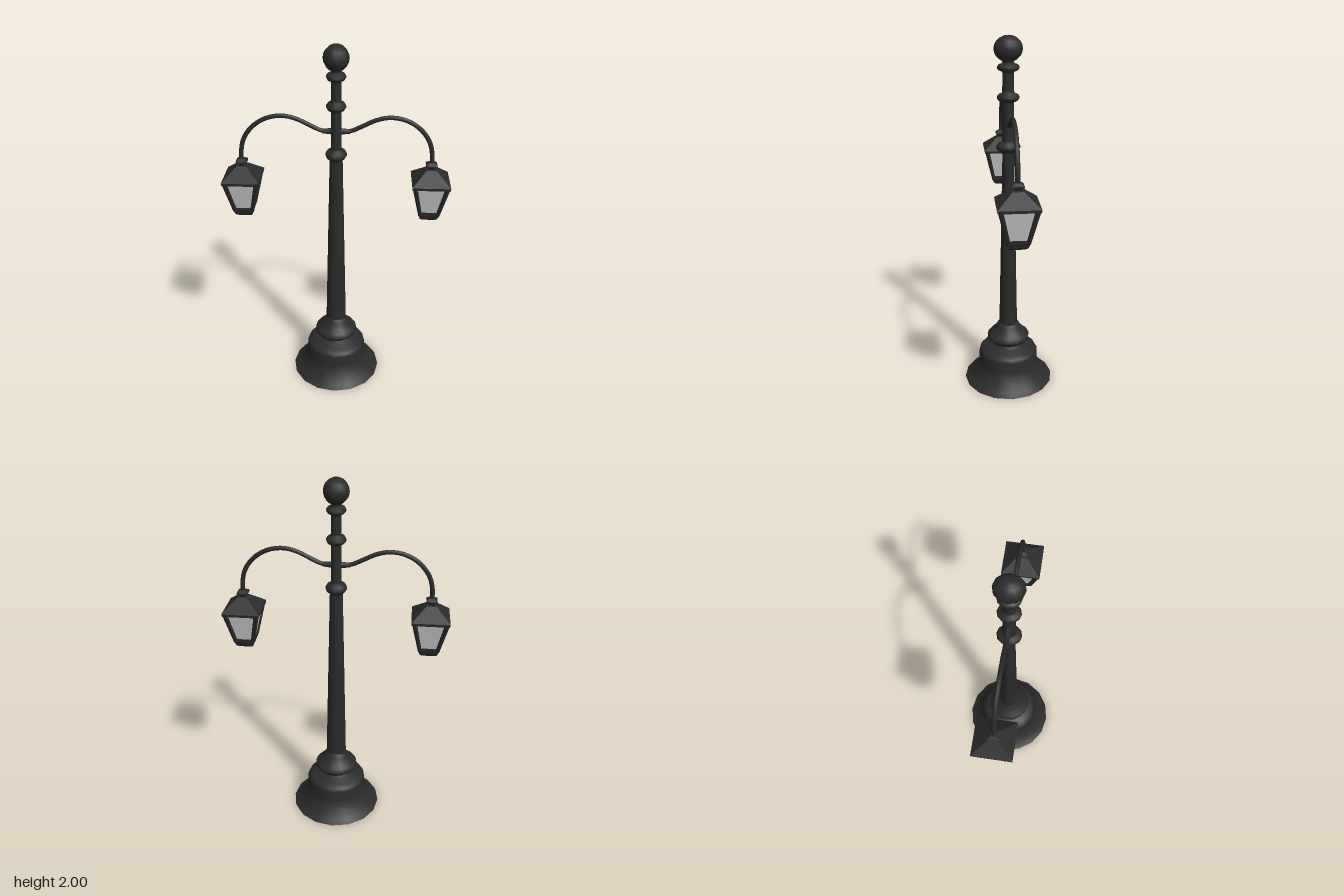
import * as THREE from 'three';

const iron = new THREE.MeshStandardMaterial({ color: 0x2b2b2b, side: THREE.DoubleSide });
const glassMat = new THREE.MeshStandardMaterial({ color: 0xcccccc, side: THREE.DoubleSide });

function add(parent, name, geometry, material = iron) {
  const mesh = new THREE.Mesh(geometry, material);
  mesh.name = name;
  parent.add(mesh);
  return mesh;
}

// Round turned part from [radius, height] pairs, listed bottom to top
function turned(points, sides) {
  return new THREE.LatheGeometry(points.map(([r, y]) => new THREE.Vector2(r, y)), sides);
}

// Four-sided part with flat faces from [half width, height] pairs
function square(points) {
  const g = turned(points.map(([h, y]) => [h * Math.SQRT2, y]), 4).rotateY(Math.PI / 4).toNonIndexed();
  g.computeVertexNormals();
  return g;
}

// Rounded ring moulding as part of a turned profile
function ring(y, outer, inner, half) {
  return [[inner, y - half], [outer * 0.88, y - half * 0.65], [outer, y - half * 0.2],
    [outer, y + half * 0.2], [outer * 0.88, y + half * 0.65], [inner, y + half]];
}

function createLantern() {
  const lantern = new THREE.Group();
  lantern.name = 'lantern';

  add(lantern, 'lanternCollar', square([[0.012, 1.35], [0.017, 1.362], [0.029, 1.37], [0.029, 1.378], [0.014, 1.39], [0, 1.39]]));
  add(lantern, 'lanternRoof', square([[0.084, 1.272], [0.098, 1.272], [0.1, 1.287], [0.027, 1.352], [0, 1.356]]));
  add(lantern, 'lanternGlass', square([[0.048, 1.105], [0.086, 1.275]]), glassMat);
  add(lantern, 'lanternFoot', square([[0, 1.063], [0.032, 1.063], [0.046, 1.075], [0.055, 1.1], [0.058, 1.117], [0.045, 1.117]]));

  // Sloping corner bars of the frame
  for (const sx of [-1, 1]) for (const sz of [-1, 1]) {
    const low = new THREE.Vector3(sx * 0.046, 1.1, sz * 0.046);
    const high = new THREE.Vector3(sx * 0.084, 1.28, sz * 0.084);
    const dir = high.clone().sub(low);
    const bar = add(lantern, 'lanternCornerBar',
      new THREE.CylinderGeometry(0.017, 0.014, dir.length(), 4, 1).rotateY(Math.PI / 4));
    bar.material = iron;
    bar.position.copy(low).lerp(high, 0.5);
    bar.quaternion.setFromUnitVectors(new THREE.Vector3(0, 1, 0), dir.normalize());
  }
  lantern.scale.z = 1.04;
  return lantern;
}

function createArm() {
  const arm = new THREE.Group();
  arm.name = 'lampArm';

  // Swan-neck tube from the post to the lantern collar
  const path = new THREE.CatmullRomCurve3([
    [0.02, 1.552], [0.075, 1.555], [0.13, 1.58], [0.21, 1.618], [0.28, 1.631], [0.36, 1.616],
    [0.43, 1.572], [0.48, 1.505], [0.499, 1.43], [0.5, 1.37],
  ].map(([x, y]) => new THREE.Vector3(x, y, 0)));
  add(arm, 'armTube', new THREE.TubeGeometry(path, 28, 0.012, 8, false));

  // Socket where the arm meets the post
  const socket = add(arm, 'armSocket', new THREE.CylinderGeometry(0.013, 0.018, 0.05, 8));
  socket.rotation.z = -Math.PI / 2;
  socket.position.set(0.045, 1.552, 0);

  const lantern = createLantern();
  lantern.position.x = 0.5;
  arm.add(lantern);
  return arm;
}

export function createModel() {
  const model = new THREE.Group();
  model.name = 'streetLamp';

  // Flared, open-bottomed base with its drum
  add(model, 'base', turned([
    [0.258, 0], [0.232, 0.018], [0.205, 0.047], [0.184, 0.085], [0.173, 0.115], [0.172, 0.178],
    [0.163, 0.195], [0.14, 0.21], [0.1, 0.223], [0.086, 0.235], [0.08, 0.25],
  ], 16));

  // Bulging collar over the base
  add(model, 'baseCollar', turned([
    [0.078, 0.238], [0.1, 0.247], [0.12, 0.268], [0.122, 0.284], [0.108, 0.3],
    [0.083, 0.32], [0.069, 0.345], [0.056, 0.365], [0.05, 0.37],
  ], 16));

  // Tapered shaft
  add(model, 'shaft', turned([[0.058, 0.35], [0.034, 1.41]], 12)).scale.z = 0.9;

  // Upper post with ring mouldings
  add(model, 'upperPost', turned([
    [0.034, 1.39], ...ring(1.424, 0.056, 0.034, 0.027),
    [0.028, 1.46], [0.027, 1.66], ...ring(1.687, 0.051, 0.028, 0.024),
    [0.027, 1.72], [0.026, 1.81], ...ring(1.84, 0.05, 0.027, 0.022),
    [0.026, 1.866], [0.032, 1.89],
  ], 12)).scale.z = 1.15;

  // Ball finial
  const ball = add(model, 'ballFinial', new THREE.SphereGeometry(1, 12, 10));
  ball.scale.set(0.066, 0.067, 0.075);
  ball.position.y = 1.933;

  // Two opposite arms
  for (const turn of [0, Math.PI]) {
    const arm = createArm();
    arm.rotation.y = turn;
    model.add(arm);
  }
  return model;
}
